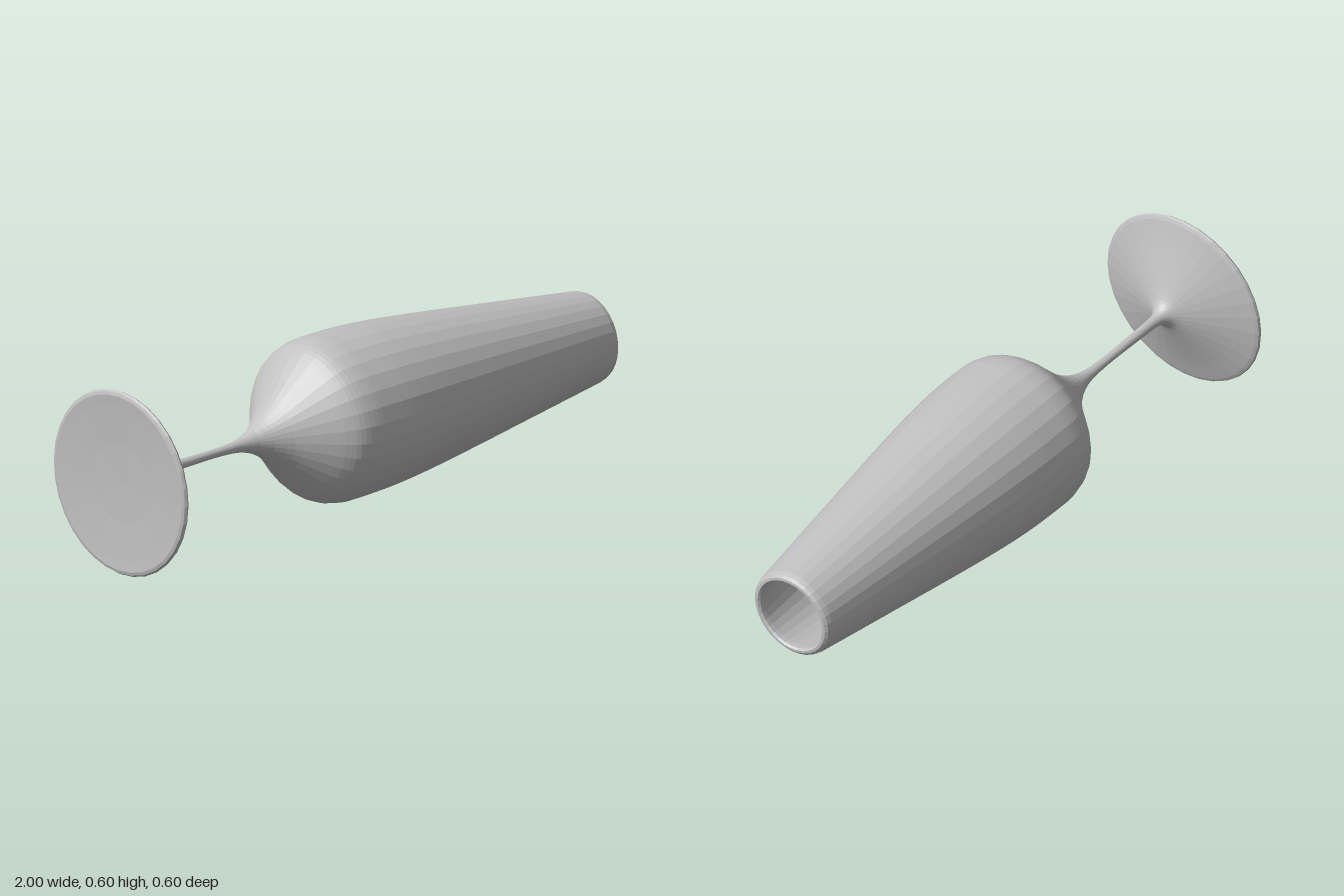
import * as THREE from 'three';

const SIDES = 32;

// Profile points are [position along the axis, radius]
function smoothProfile(pts, divisions) {
  const curve = new THREE.SplineCurve(pts.map(([a, r]) => new THREE.Vector2(r, a)));
  return curve.getPoints(divisions);
}

const straightProfile = (pts) => pts.map(([a, r]) => new THREE.Vector2(r, a));

export function createModel() {
  const glass = new THREE.MeshStandardMaterial({ color: 0xc0c0c0, flatShading: true });
  glass.name = 'pale grey glass';

  const model = new THREE.Group();
  model.name = 'fluteGlass';

  // The glass lies on its side, leaning slightly down towards the rim
  const body = new THREE.Group();
  body.name = 'lyingGlass';
  body.rotation.z = -Math.PI / 2 - 0.0135;
  body.position.y = 0.285;
  model.add(body);

  const addPart = (name, points) => {
    const mesh = new THREE.Mesh(new THREE.LatheGeometry(points, SIDES), glass);
    mesh.name = name;
    body.add(mesh);
  };

  // Slightly hollow underside and rounded edge of the foot
  addPart('footUnderside', straightProfile([
    [-0.982, 0], [-0.985, 0.13], [-0.993, 0.25], [-0.996, 0.283],
    [-0.993, 0.293], [-0.986, 0.298], [-0.979, 0.295], [-0.974, 0.285],
  ]));

  // Cone of the foot sweeping up into the stem
  addPart('footTop', smoothProfile([
    [-0.974, 0.285], [-0.95, 0.213], [-0.92, 0.135], [-0.89, 0.064],
    [-0.87, 0.035], [-0.845, 0.021], [-0.81, 0.017],
  ], 18));

  addPart('stem', smoothProfile([
    [-0.81, 0.017], [-0.7, 0.015], [-0.6, 0.014], [-0.52, 0.017],
    [-0.47, 0.025], [-0.43, 0.039],
  ], 14));

  // Outer bowl, widest near the stem and tapering to the rim
  addPart('bowlOutside', smoothProfile([
    [-0.43, 0.039], [-0.39, 0.063], [-0.34, 0.105], [-0.28, 0.168],
    [-0.23, 0.22], [-0.19, 0.249], [-0.14, 0.262], [-0.08, 0.264],
    [0.04, 0.261], [0.2, 0.247], [0.4, 0.223], [0.6, 0.197],
    [0.8, 0.171], [0.975, 0.148],
  ], 40));

  // Rounded lip
  addPart('rim', straightProfile([
    [0.975, 0.148], [0.99, 0.143], [0.997, 0.135], [0.998, 0.126],
    [0.992, 0.12], [0.975, 0.121],
  ]));

  // Hollow inside of the bowl
  addPart('bowlInside', smoothProfile([
    [0.975, 0.121], [0.8, 0.15], [0.6, 0.177], [0.4, 0.203],
    [0.2, 0.227], [0.04, 0.241], [-0.08, 0.244], [-0.14, 0.241],
    [-0.19, 0.226], [-0.24, 0.18], [-0.29, 0.125], [-0.33, 0.075],
    [-0.35, 0],
  ], 36));

  return model;
}
